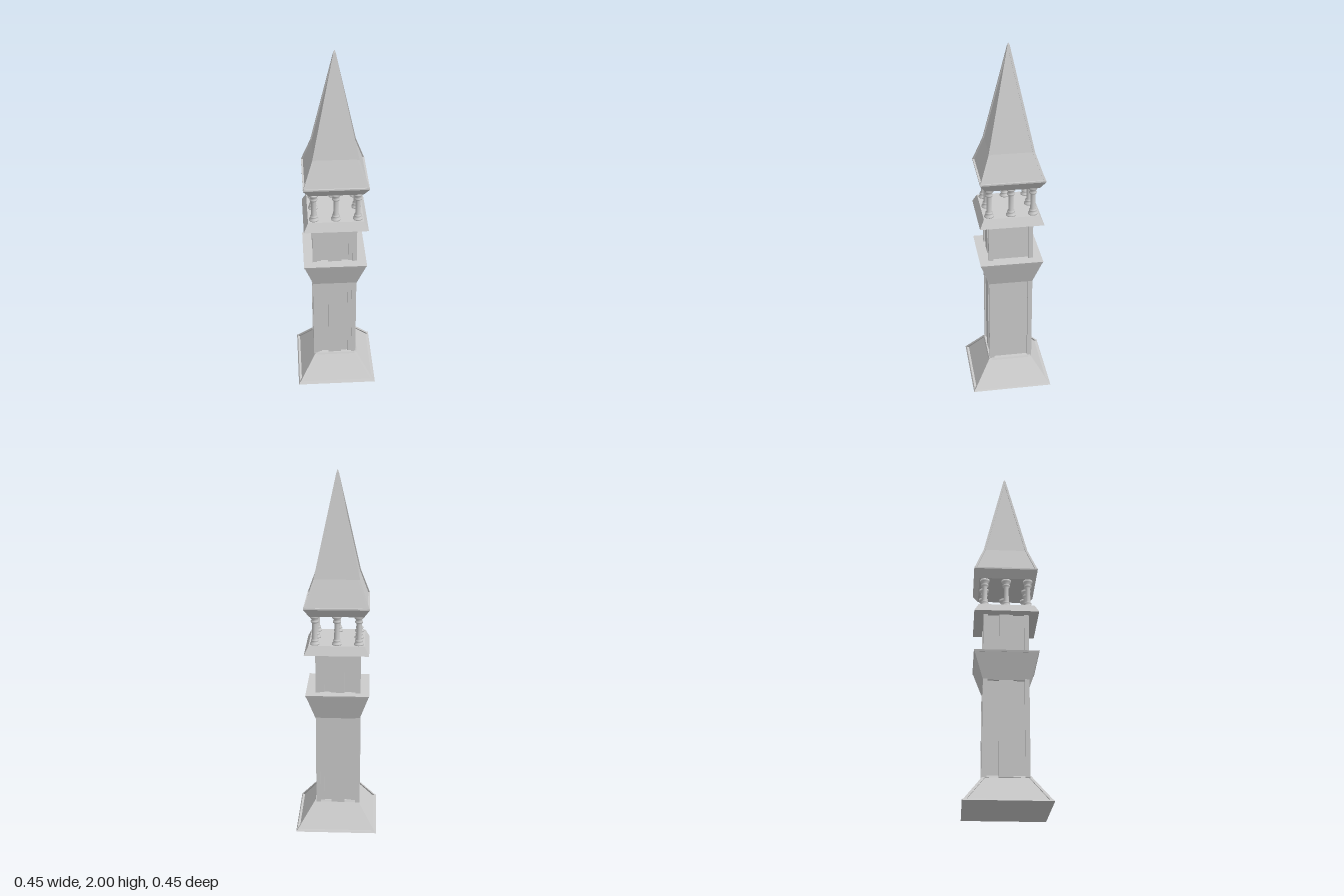
import * as THREE from 'three';

const mat = new THREE.MeshStandardMaterial({ color: 0xcccccc, flatShading: true });
const smooth = new THREE.MeshStandardMaterial({ color: 0xcccccc });

function add(parent, name, geometry, x = 0, y = 0, z = 0, material = mat) {
  const mesh = new THREE.Mesh(geometry, material);
  mesh.name = name;
  mesh.position.set(x, y, z);
  parent.add(mesh);
  return mesh;
}

// Square frustum between two heights, given half widths
function frustum(parent, name, bottom, top, y0, y1) {
  const g = new THREE.CylinderGeometry(top * Math.SQRT2, bottom * Math.SQRT2, y1 - y0, 4);
  g.rotateY(Math.PI / 4);
  return add(parent, name, g, 0, (y0 + y1) / 2, 0);
}

// Four sheared square beams running up the corners of a frustum
function hips(parent, name, bottom, top, y0, y1, w) {
  for (const sx of [-1, 1]) for (const sz of [-1, 1]) {
    const g = new THREE.BoxGeometry(w, y1 - y0, w);
    const p = g.attributes.position;
    for (let i = 0; i < p.count; i++) {
      const c = (p.getY(i) > 0 ? top : bottom) - w / 2;
      p.setX(i, p.getX(i) + sx * c);
      p.setZ(i, p.getZ(i) + sz * c);
    }
    add(parent, name, g, 0, (y0 + y1) / 2, 0);
  }
}

function section(root, name, x, z) {
  const g = new THREE.Group();
  g.name = name;
  g.position.set(x, 0, z);
  root.add(g);
  return g;
}

export function createModel() {
  const root = new THREE.Group();
  root.name = 'tower';

  // Sloping plinth with framed panels
  const base = section(root, 'plinth', 0, 0);
  frustum(base, 'plinthPanels', 0.212, 0.114, 0, 0.147);
  frustum(base, 'plinthRim', 0.225, 0.219, 0, 0.008);
  frustum(base, 'plinthTopRail', 0.125, 0.12, 0.14, 0.15);
  hips(base, 'plinthHip', 0.223, 0.122, 0, 0.147, 0.016);

  // Shaft with stepped corner posts and pilasters
  const shaft = section(root, 'shaft', -0.007, -0.006);
  const y0 = 0.14, h = 0.91, mid = y0 + h / 2;
  add(shaft, 'shaftCore', new THREE.BoxGeometry(0.212, h, 0.212), 0, mid, 0);
  for (const sx of [-1, 1]) for (const sz of [-1, 1]) {
    add(shaft, 'cornerPost', new THREE.BoxGeometry(0.025, h, 0.025), sx * 0.1095, mid, sz * 0.1095);
    add(shaft, 'cornerStep', new THREE.BoxGeometry(0.03, h, 0.02), sx * 0.09, mid, sz * 0.104);
  }
  for (const a of [0, Math.PI, -Math.PI / 2]) {
    const pilaster = add(shaft, 'pilaster', new THREE.BoxGeometry(0.074, h, 0.02),
      Math.sin(a) * 0.109, mid, Math.cos(a) * 0.109);
    pilaster.rotation.y = a;
  }

  // Flaring balcony band
  const band = section(root, 'balcony', -0.005, -0.005);
  frustum(band, 'balconyFlare', 0.122, 0.17, 0.66, 0.805);
  frustum(band, 'balconyLip', 0.17, 0.173, 0.8, 0.81);

  // Gallery floor and its ring of turned columns
  const gallery = section(root, 'gallery', -0.001, -0.005);
  frustum(gallery, 'galleryFloor', 0.174, 0.15, 1.04, 1.088);
  const profile = [
    [0, 1.08], [0.026, 1.085], [0.026, 1.095], [0.017, 1.102], [0.021, 1.108], [0.02, 1.115],
    [0.014, 1.12], [0.013, 1.205], [0.02, 1.211], [0.021, 1.22], [0.014, 1.226],
    [0.025, 1.238], [0.026, 1.25], [0, 1.255],
  ].map(([r, y]) => new THREE.Vector2(r, y));
  const columnGeometry = new THREE.LatheGeometry(profile, 16);
  for (const i of [-1, 0, 1]) for (const j of [-1, 0, 1]) {
    if (i || j) add(gallery, 'column', columnGeometry, i * 0.118, 0, j * 0.118, smooth);
  }

  // Two-pitch spire with raised hips over a flared cornice
  const roof = section(root, 'spire', -0.001, -0.009);
  frustum(roof, 'cornice', 0.145, 0.174, 1.25, 1.295);
  frustum(roof, 'eaveRim', 0.174, 0.174, 1.295, 1.303);
  frustum(roof, 'lowerRoof', 0.165, 0.116, 1.3, 1.445);
  frustum(roof, 'upperRoof', 0.116, 0, 1.445, 1.985);
  hips(roof, 'lowerHip', 0.173, 0.122, 1.3, 1.445, 0.012);
  hips(roof, 'upperHip', 0.122, 0.006, 1.445, 1.985, 0.012);
  frustum(roof, 'spireTip', 0.006, 0, 1.983, 2);

  return root;
}
